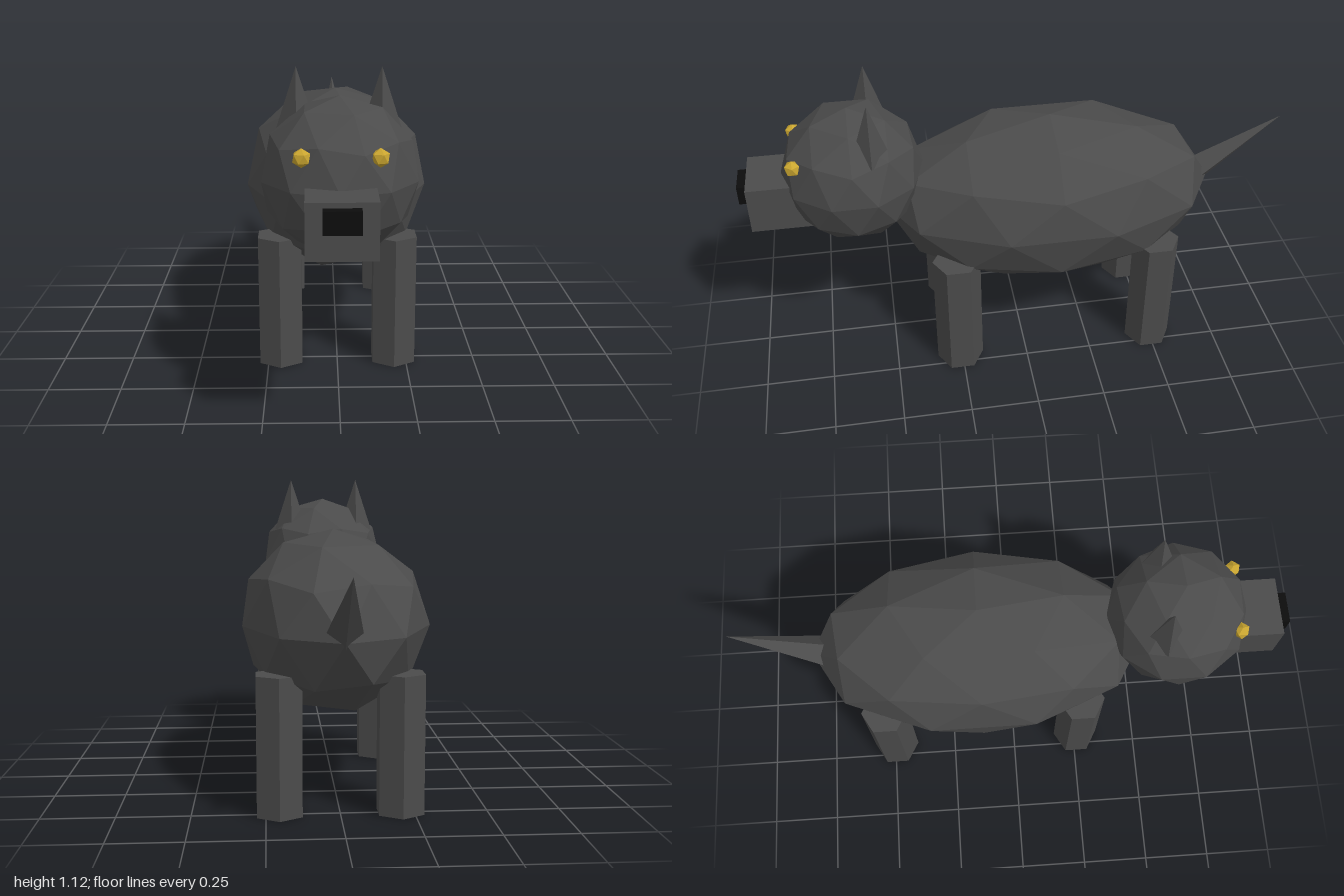
import * as THREE from 'three';

export function createModel() {
  const model = new THREE.Group();
  model.name = 'wolf';

  const makeMaterial = (name, color) => {
    const m = new THREE.MeshStandardMaterial({ color, flatShading: true });
    m.name = name;
    return m;
  };
  const fur = makeMaterial('greyFur', 0x4b4b4b);
  const black = makeMaterial('blackNose', 0x0d0d0d);
  const gold = makeMaterial('goldEye', 0xc9a530);

  const add = (name, geometry, material, x, y, z) => {
    const mesh = new THREE.Mesh(geometry, material);
    mesh.name = name;
    mesh.position.set(x, y, z);
    model.add(mesh);
    return mesh;
  };

  // Icosphere with a corner pointing up and an upper ring corner towards +x
  const icosphere = (rx, ry, rz, detail) =>
    new THREE.IcosahedronGeometry(1, detail)
      .rotateX(-Math.atan2(1 + Math.sqrt(5), 2))
      .rotateY(Math.PI / 2)
      .scale(rx, ry, rz);

  // Body and head
  add('body', icosphere(0.344, 0.326, 0.62, 1), fur, 0, 0.614, -0.119);
  add('head', icosphere(0.256, 0.256, 0.256, 1), fur, 0, 0.783, 0.595);

  // Snout and nose
  add('snout', new THREE.BoxGeometry(0.214, 0.175, 0.25), fur, 0, 0.714, 0.842);
  add('nose', new THREE.BoxGeometry(0.112, 0.071, 0.07), black, 0, 0.75, 0.965);

  // Paired parts
  for (const [side, s] of [['left', 1], ['right', -1]]) {
    add(side + 'Eye', icosphere(0.03, 0.03, 0.03, 0), gold, s * 0.117, 0.888, 0.793);
    add(side + 'Ear', new THREE.ConeGeometry(0.068, 0.209, 4), fur, s * 0.136, 1.0145, 0.525);
    for (const [end, z] of [['Front', 0.257], ['Back', -0.493]]) {
      add(side + end + 'Leg', new THREE.CylinderGeometry(0.088, 0.088, 0.478, 6), fur, s * 0.204, 0.239, z);
    }
  }

  // Tail: a four-sided spike whose tip leans up and back
  const length = 0.45;
  const tilt = THREE.MathUtils.degToRad(56.7);
  const tail = add('tail', new THREE.ConeGeometry(0.072, length, 4), fur,
    0, 0.842 - Math.cos(tilt) * length / 2, -1 + Math.sin(tilt) * length / 2);
  tail.rotation.x = -tilt;

  return model;
}
